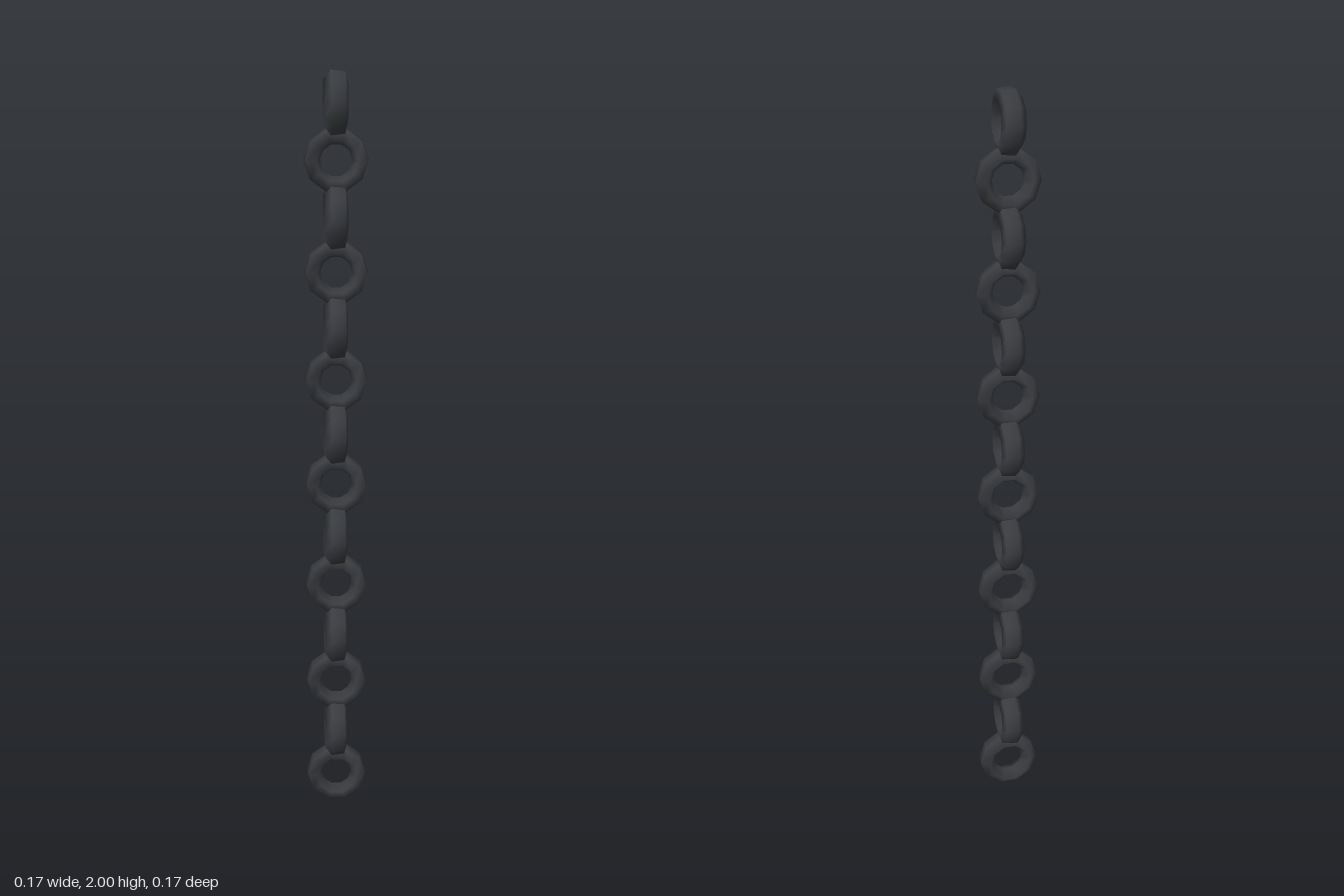
import * as THREE from 'three';
import { mergeVertices } from 'three/addons/utils/BufferGeometryUtils.js';

const LINKS = 14;
const SIDES = 10;

// One chunky ring: a flattened, slightly skewed pentagon swept around the z axis
function linkGeometry() {
  const section = [
    [0.083, -0.014], [0.079, 0.0215], [0.053, 0.0285], [0.041, -0.003], [0.059, -0.0325],
  ].map(([r, a]) => new THREE.Vector2(r, a));
  section.push(section[0].clone());
  const lathe = new THREE.LatheGeometry(section, SIDES, Math.PI / 2);
  lathe.rotateX(Math.PI / 2);
  // Weld the seams so the shading is smooth all round
  lathe.deleteAttribute('uv');
  lathe.deleteAttribute('normal');
  const geometry = mergeVertices(lathe, 1e-5);
  geometry.computeVertexNormals();
  return geometry;
}

export function createModel() {
  const chain = new THREE.Group();
  chain.name = 'chain';
  const geometry = linkGeometry();
  const material = new THREE.MeshStandardMaterial({ color: 0x3a3c40 });
  const end = 0.083 * Math.cos(Math.PI / SIDES);
  const spacing = (2 - 2 * end) / (LINKS - 1);

  // Links stacked upward, every second one turned a quarter
  for (let i = 0; i < LINKS; i++) {
    const link = new THREE.Mesh(geometry, material);
    link.name = `chainLink${i + 1}`;
    link.position.y = end + i * spacing;
    link.rotation.y = (i % 2) * Math.PI / 2;
    chain.add(link);
  }
  return chain;
}
